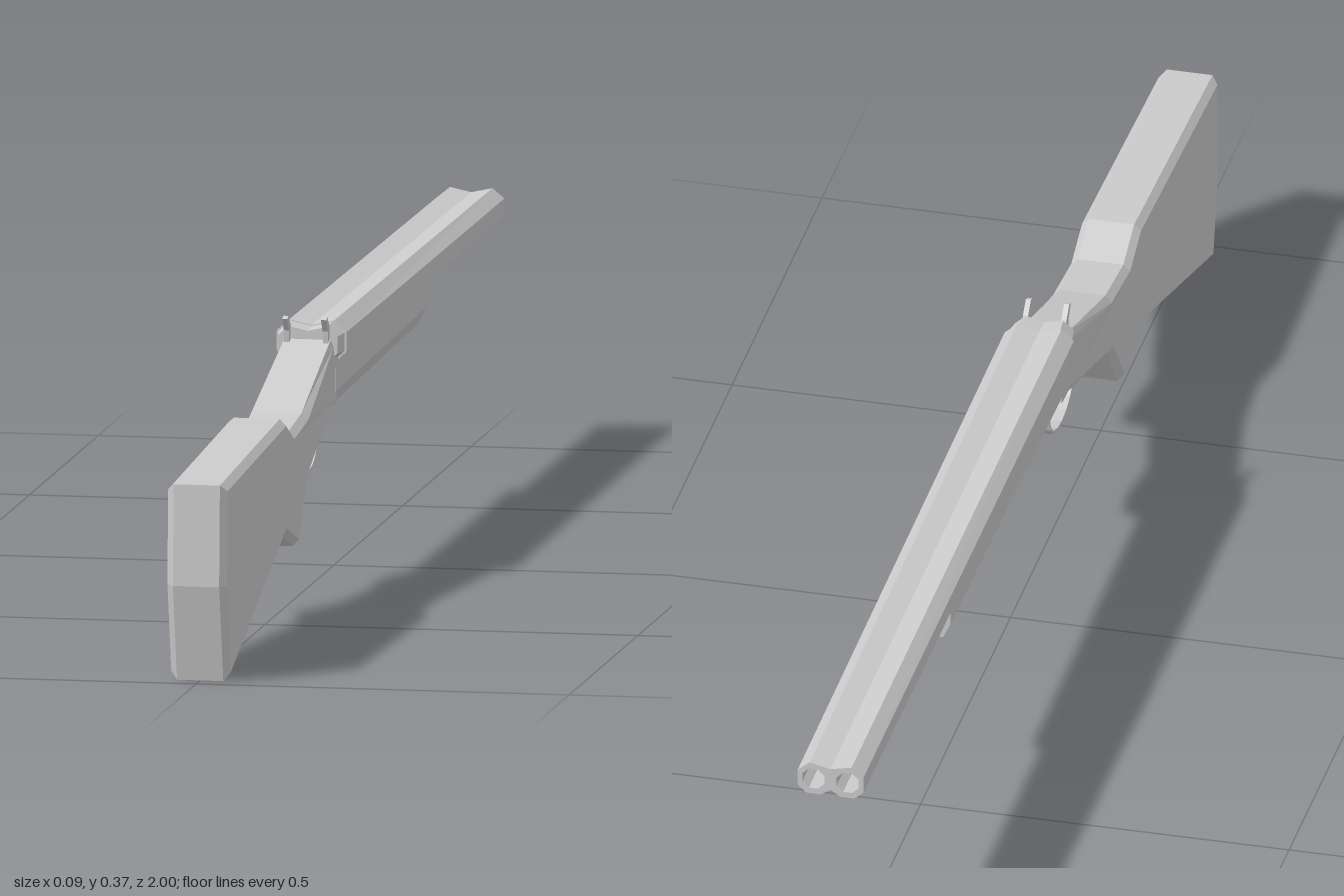
import * as THREE from 'three';

const material = new THREE.MeshStandardMaterial({ color: 0xcccccc, flatShading: true, side: THREE.DoubleSide });
const toPoints = (list) => list.map(([a, b]) => new THREE.Vector2(a, b));

function addMesh(parent, name, geometry) {
  geometry.computeVertexNormals();
  const mesh = new THREE.Mesh(geometry, material);
  mesh.name = name;
  parent.add(mesh);
  return mesh;
}

// Moves every vertex by a rule
function bend(geometry, rule) {
  const p = geometry.attributes.position;
  const v = new THREE.Vector3();
  for (let i = 0; i < p.count; i++) {
    v.fromBufferAttribute(p, i);
    rule(v);
    p.setXYZ(i, v.x, v.y, v.z);
  }
  return geometry;
}

// Side profile in (z, y), given a width across x and an optional inset bevel
function sidePlate(shape, width, bevel = 0) {
  const depth = width - 2 * bevel;
  const g = new THREE.ExtrudeGeometry(shape, {
    depth, bevelEnabled: bevel > 0, bevelThickness: bevel, bevelSize: bevel,
    bevelOffset: -bevel, bevelSegments: 1, curveSegments: 8,
  });
  return g.translate(0, 0, -depth / 2).rotateY(-Math.PI / 2);
}

// Cross-section in (x, y), extruded from z0 to z1
function crossExtrude(shape, z0, z1) {
  return new THREE.ExtrudeGeometry(shape, { depth: z1 - z0, bevelEnabled: false }).translate(0, 0, z0);
}

const ellipse = (x, y, rx, ry, n, turn = 0) => Array.from({ length: n }, (_, i) => {
  const a = (i / n) * Math.PI * 2 + turn;
  return new THREE.Vector2(x + rx * Math.cos(a), y + ry * Math.sin(a));
});

export function createModel() {
  const model = new THREE.Group();
  model.name = 'doubleBarrelLongGun';

  // Shoulder stock, grip and receiver in one bevelled profile
  const stock = new THREE.Shape(toPoints([
    [0.97, 0], [1, 0.13], [0.995, 0.265], [0.56, 0.285], [0.5, 0.258], [0.4, 0.268],
    [0.19, 0.332], [0.16, 0.332], [0.16, 0.241], [0.19, 0.241], [0.405, 0.178], [0.465, 0.1], [0.56, 0.13],
  ]));
  addMesh(model, 'stock', bend(sidePlate(stock, 0.08, 0.009), (v) => {
    // Narrow the receiver toward the breech
    const t = THREE.MathUtils.clamp((0.4 - v.z) / 0.2, 0, 1);
    const limit = THREE.MathUtils.lerp(0.04, 0.035, t);
    v.x = THREE.MathUtils.clamp(v.x, -limit, limit);
  }));

  // Fore-end under the barrels, with chamfered lower edges
  const foreEnd = new THREE.Shape(toPoints([
    [-0.035, 0.308], [-0.036, 0.262], [-0.026, 0.24], [0.026, 0.24], [0.036, 0.262], [0.035, 0.308],
  ]));
  addMesh(model, 'foreEnd', bend(crossExtrude(foreEnd, -0.48, 0.18), (v) => {
    if (v.z < 0 && v.y < 0.3) v.y += 0.008;
  }));

  // Joined pair of faceted barrels with open bores
  const outline = [
    [0, -0.016], [0.014, -0.026], [0.034, -0.026], [0.047, -0.014], [0.047, 0.012], [0.03, 0.027], [0, 0.02],
    [-0.03, 0.027], [-0.047, 0.012], [-0.047, -0.014], [-0.034, -0.026], [-0.014, -0.026],
  ];
  const barrels = new THREE.Shape(toPoints(outline));
  for (const s of [-1, 1]) barrels.holes.push(new THREE.Path(ellipse(s * 0.0245, 0, 0.017, 0.018, 8, Math.PI / 8)));
  const taper = (v) => {
    const t = (0.16 - v.z) / 1.16;
    v.x *= 1 - 0.05 * t;
    v.y = 0.326 + v.y * (1 - 0.12 * t) - 0.004 * t;
  };
  addMesh(model, 'barrels', bend(crossExtrude(barrels, -1, 0.16), taper));

  // Solid breech that closes the bores and slims toward the receiver
  addMesh(model, 'breech', bend(crossExtrude(new THREE.Shape(toPoints(outline)), 0.14, 0.19), (v) => {
    const s = v.z > 0.18 ? 0.85 : 1;
    v.x *= s;
    v.y = 0.326 + v.y * s;
  }));

  // Twin hammers
  const hammer = new THREE.Shape(toPoints([
    [0.175, 0.325], [0.2, 0.325], [0.202, 0.345], [0.215, 0.362], [0.206, 0.365], [0.19, 0.35],
  ]));
  for (const [name, s] of [['leftHammer', 1], ['rightHammer', -1]]) {
    addMesh(model, name, sidePlate(hammer, 0.007).translate(s * 0.026, 0, 0));
  }

  // Trigger guard: flat band whose top is set into the receiver
  const guard = new THREE.Shape(ellipse(0.24, 0.203, 0.07, 0.043, 16));
  guard.holes.push(new THREE.Path(ellipse(0.24, 0.203, 0.065, 0.038, 16)));
  addMesh(model, 'triggerGuard', sidePlate(guard, 0.022));

  // Curved trigger
  const trigger = new THREE.Shape(toPoints([
    [0.235, 0.24], [0.255, 0.235], [0.25, 0.205], [0.235, 0.184], [0.23, 0.187], [0.24, 0.207],
  ]));
  addMesh(model, 'trigger', sidePlate(trigger, 0.008));

  return model;
}
